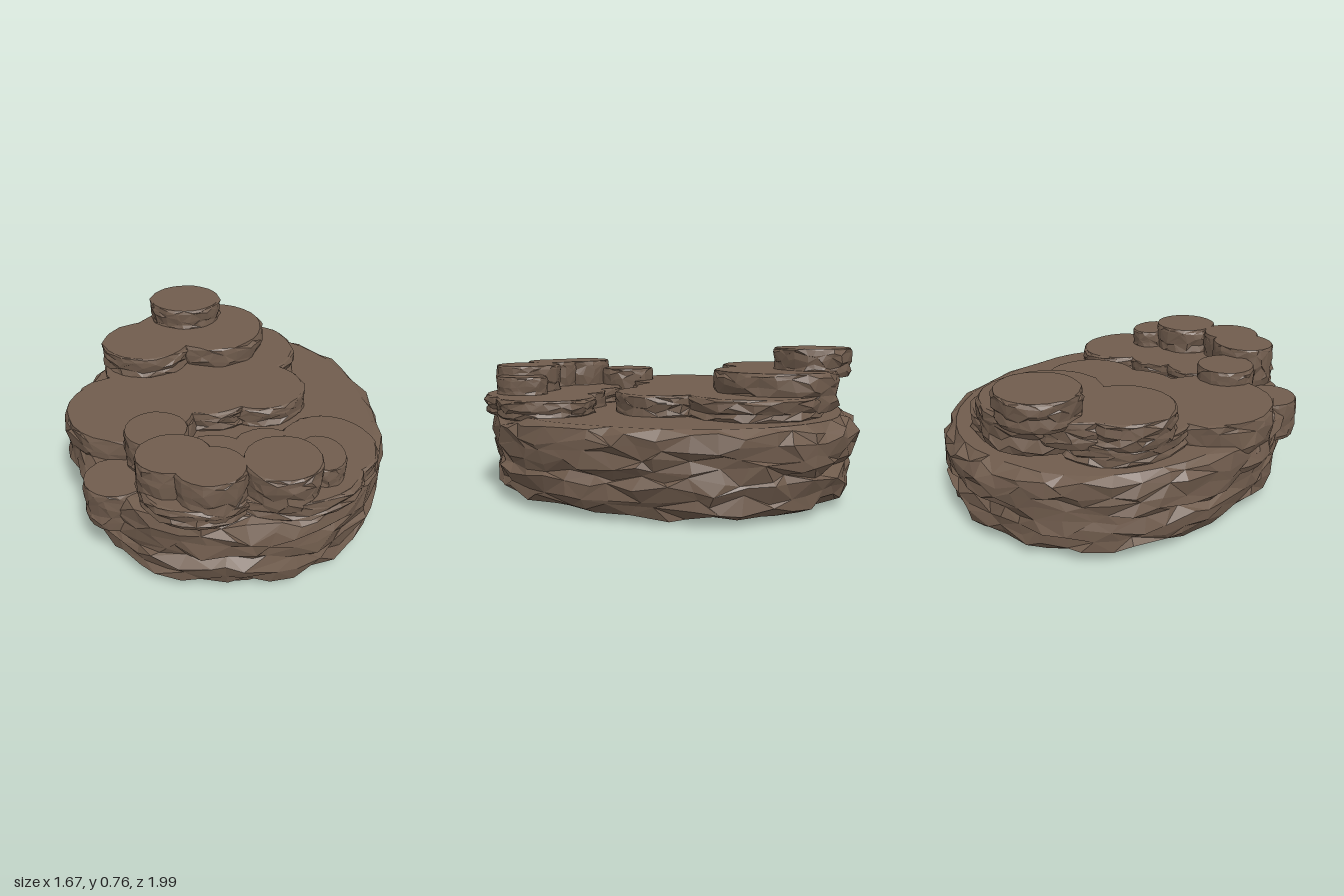
import * as THREE from 'three';

const material = new THREE.MeshStandardMaterial({ color: 0x705c4d, flatShading: true, roughness: 1 });

// Small seeded random generator
function seeded(seed) {
  let s = seed * 7919 + 17;
  return () => {
    s = (s + 0x6d2b79f5) | 0;
    let t = Math.imul(s ^ (s >>> 15), 1 | s);
    t = (t + Math.imul(t ^ (t >>> 7), 61 | t)) ^ t;
    return ((t ^ (t >>> 14)) >>> 0) / 4294967296;
  };
}

// Flat-topped rock: rings of [height, radius scale] with roughened, layered sides
function rockGeometry({ rx, rz, rings, segments, rough, power = 2, seed }) {
  const random = seeded(seed);
  const positions = [], index = [];
  const last = rings.length - 1;
  rings.forEach(([y, scale], j) => {
    const phase = random() * 6.28, phase2 = random() * 6.28;
    const edge = j === 0 || j === last;
    for (let i = 0; i < segments; i++) {
      const a = ((i + (edge ? 0 : (random() - 0.5) * 0.7)) / segments) * Math.PI * 2;
      const c = Math.cos(a), s = Math.sin(a);
      const round = Math.pow(Math.abs(c) ** power + Math.abs(s) ** power, -1 / power);
      // long ledges running round the rock, plus fine chipping
      const ledge = 0.55 * Math.sin(a * 4 + phase) + 0.45 * Math.sin(a * 7 + phase2);
      const chip = random() * 2 - 1;
      const r = round * scale + rough * (edge ? 0.35 : 1) * (0.45 * ledge + 0.55 * chip);
      const gap = edge ? 0 : (rings[j + 1][0] - rings[j - 1][0]) * 0.27;
      positions.push(c * r * rx, y + gap * (random() * 2 - 1), s * r * rz);
    }
  });
  for (let j = 0; j < last; j++) {
    for (let i = 0; i < segments; i++) {
      const n = (i + 1) % segments;
      const p = j * segments + i, q = j * segments + n;
      const up = p + segments, upNext = q + segments;
      if ((i + j) % 2) index.push(p, up, q, q, up, upNext);
      else index.push(p, up, upNext, p, upNext, q);
    }
  }
  // Caps
  const bottom = positions.length / 3, top = bottom + 1;
  positions.push(0, rings[0][0] - 0.012, 0, 0, rings[last][0], 0);
  for (let i = 0; i < segments; i++) {
    const n = (i + 1) % segments;
    index.push(bottom, i, n, top, last * segments + n, last * segments + i);
  }
  const geometry = new THREE.BufferGeometry();
  geometry.setAttribute('position', new THREE.Float32BufferAttribute(positions, 3));
  geometry.setIndex(index);
  geometry.computeVertexNormals();
  return geometry;
}

const lobeProfile = [[0, 0.93], [0.2, 0.99], [0.4, 0.96], [0.6, 1], [0.82, 1], [0.94, 0.985], [1, 0.955]];

// A tier is a set of overlapping lobes: [x, z, rx, rz, bottom, top]
function tier(name, lobes, seed) {
  const group = new THREE.Group();
  group.name = name;
  lobes.forEach(([x, z, rx, rz, y0, y1], k) => {
    const mesh = new THREE.Mesh(rockGeometry({
      rx, rz, seed: seed + k,
      rings: lobeProfile.map(([t, r]) => [y0 + t * (y1 - y0), r]),
      segments: rx > 0.2 ? 26 : 20,
      rough: 0.045,
    }), material);
    mesh.position.set(x, 0, z);
    mesh.name = name + 'Lobe';
    group.add(mesh);
  });
  return group;
}

export function createModel() {
  const model = new THREE.Group();
  model.name = 'steppedRock';

  // Broad oval base
  const base = new THREE.Mesh(rockGeometry({
    rx: 0.81, rz: 0.97, power: 2.15, segments: 48, rough: 0.034, seed: 5,
    rings: [[0.014, 0.78], [0.03, 0.9], [0.07, 0.965], [0.12, 0.97], [0.17, 0.985], [0.21, 0.965],
      [0.26, 0.985], [0.31, 0.985], [0.36, 1], [0.41, 0.985], [0.44, 0.935]],
  }), material);
  base.name = 'base';
  model.add(base);

  // Wide middle terrace
  model.add(tier('middleTerrace', [
    [-0.5, 0.1, 0.34, 0.34, 0.27, 0.545],
    [-0.1, -0.08, 0.31, 0.315, 0.42, 0.545],
    [0.18, -0.03, 0.25, 0.25, 0.42, 0.545],
    [-0.32, -0.34, 0.32, 0.36, 0.42, 0.545],
    [0.1, -0.48, 0.36, 0.35, 0.42, 0.545],
  ], 20));

  // Upper terrace at the back, with the summit on it
  model.add(tier('upperTerrace', [
    [-0.4, -0.42, 0.25, 0.24, 0.52, 0.655],
    [-0.01, -0.57, 0.3, 0.32, 0.46, 0.655],
    [-0.22, -0.55, 0.25, 0.24, 0.52, 0.655],
  ], 40));
  model.add(tier('summit', [[-0.155, -0.73, 0.21, 0.2, 0.62, 0.765]], 50));

  // Low terrace at the front
  model.add(tier('frontTerrace', [
    [0.43, 0.52, 0.235, 0.26, 0.42, 0.52],
    [0.14, 0.53, 0.18, 0.19, 0.42, 0.52],
    [-0.12, 0.54, 0.18, 0.17, 0.42, 0.52],
    [-0.2, 0.72, 0.28, 0.24, 0.42, 0.52],
    [0.2, 0.7, 0.35, 0.25, 0.42, 0.52],
  ], 60));
  model.add(tier('sideLedge', [[-0.58, 0.56, 0.16, 0.155, 0.24, 0.447]], 70));

  // Boulders standing on the front terrace
  model.add(tier('frontBoulders', [
    [-0.385, 0.43, 0.155, 0.155, 0.42, 0.615],
    [-0.32, 0.7, 0.175, 0.155, 0.44, 0.66],
    [-0.165, 0.81, 0.165, 0.15, 0.45, 0.66],
    [0.155, 0.79, 0.18, 0.175, 0.48, 0.66],
    [0.35, 0.71, 0.11, 0.14, 0.49, 0.612],
  ], 80));

  return model;
}
